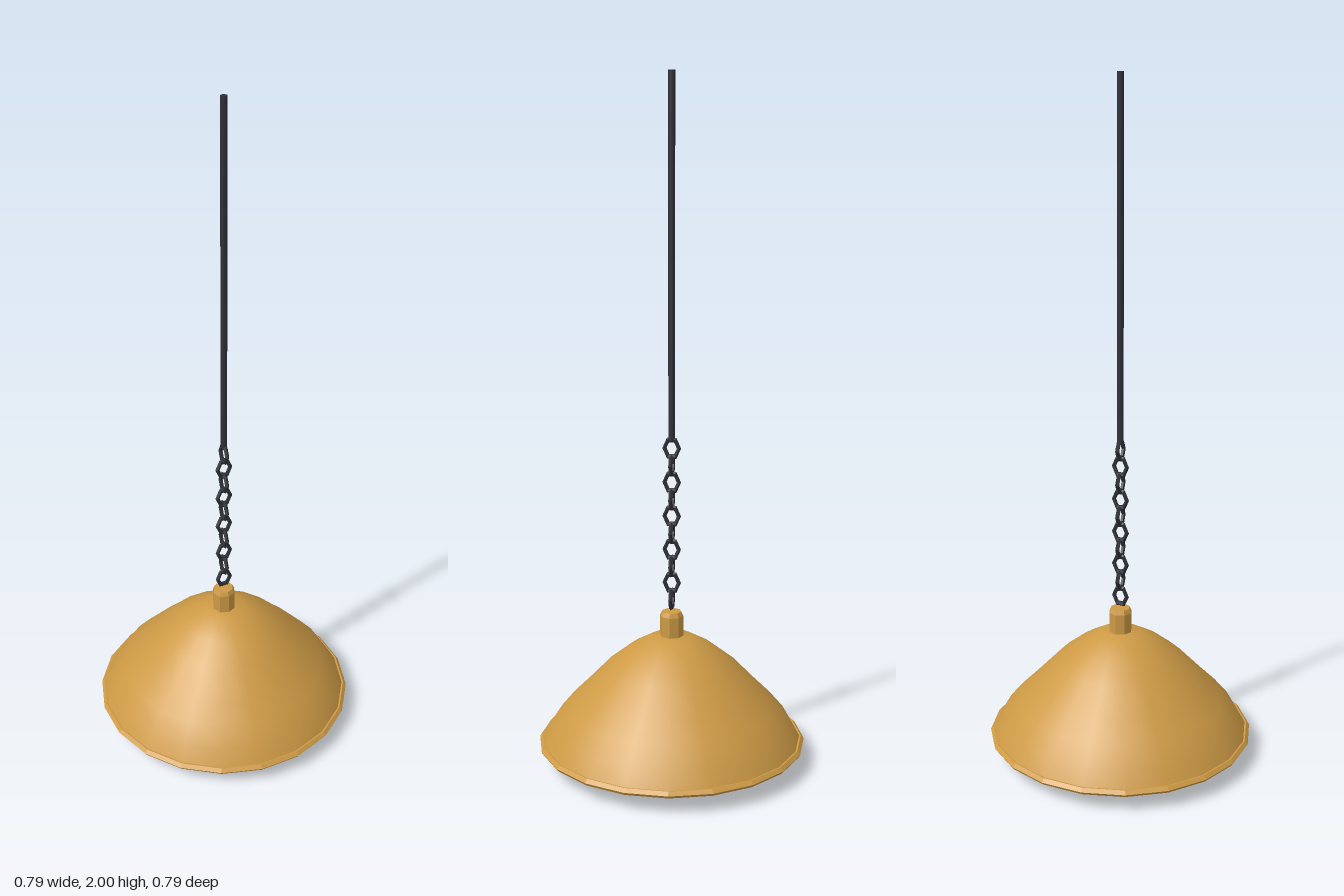
import * as THREE from 'three';

const brass = new THREE.MeshStandardMaterial({ name: 'brass', color: 0xcd9a45, side: THREE.DoubleSide });
const iron = new THREE.MeshStandardMaterial({ name: 'dark iron', color: 0x30303a });

const SIDES = 20;

function part(parent, name, geometry, material, y = 0) {
  const mesh = new THREE.Mesh(geometry, material);
  mesh.name = name;
  mesh.position.y = y;
  parent.add(mesh);
  return mesh;
}

function lathe(points, sides) {
  return new THREE.LatheGeometry(points.map(([r, y]) => new THREE.Vector2(r, y)), sides);
}

export function createModel() {
  const lamp = new THREE.Group();
  lamp.name = 'pendantLamp';

  // Domed shade, smooth around a 20-sided outline
  part(lamp, 'shade', lathe([
    [0.387, 0.058], [0.355, 0.115], [0.312, 0.166], [0.262, 0.216],
    [0.192, 0.289], [0.127, 0.34], [0.063, 0.376], [0, 0.382],
  ], SIDES), brass);

  // Rolled lip along the shade's open edge
  const lip = lathe([
    [0.374, 0.05], [0.391, 0.05], [0.396, 0.058], [0.387, 0.068], [0.374, 0.066], [0.374, 0.05],
  ], SIDES).toNonIndexed();
  lip.computeVertexNormals();
  part(lamp, 'shadeLip', lip, brass);

  // Octagonal collar with a small bevel on top
  const collar = lathe([[0.035, 0.37], [0.035, 0.44], [0.029, 0.453], [0, 0.453]], 8).toNonIndexed();
  collar.computeVertexNormals();
  part(lamp, 'collar', collar, brass);

  // Bulb and its socket inside the shade
  part(lamp, 'bulb', new THREE.SphereGeometry(0.068, 16, 12), brass, 0.068);
  part(lamp, 'bulbSocket', new THREE.CylinderGeometry(0.031, 0.031, 0.1, 8), brass, 0.155);

  // Chain of hexagonal links, alternately turned on the two diagonals
  const link = new THREE.TorusGeometry(0.021, 0.0065, 5, 6).scale(1, 1.3, 1).toNonIndexed();
  link.computeVertexNormals();
  const chain = new THREE.Group();
  chain.name = 'chain';
  lamp.add(chain);
  for (let i = 0; i < 10; i++) {
    const mesh = part(chain, 'chainLink', link, iron, 0.49 + i * 0.0503);
    mesh.rotation.y = (i % 2 ? 3 : 1) * Math.PI / 4;
  }

  // Long hanging rod
  part(lamp, 'rod', new THREE.CylinderGeometry(0.01, 0.01, 1.035, 8), iron, 1.4825);

  return lamp;
}
